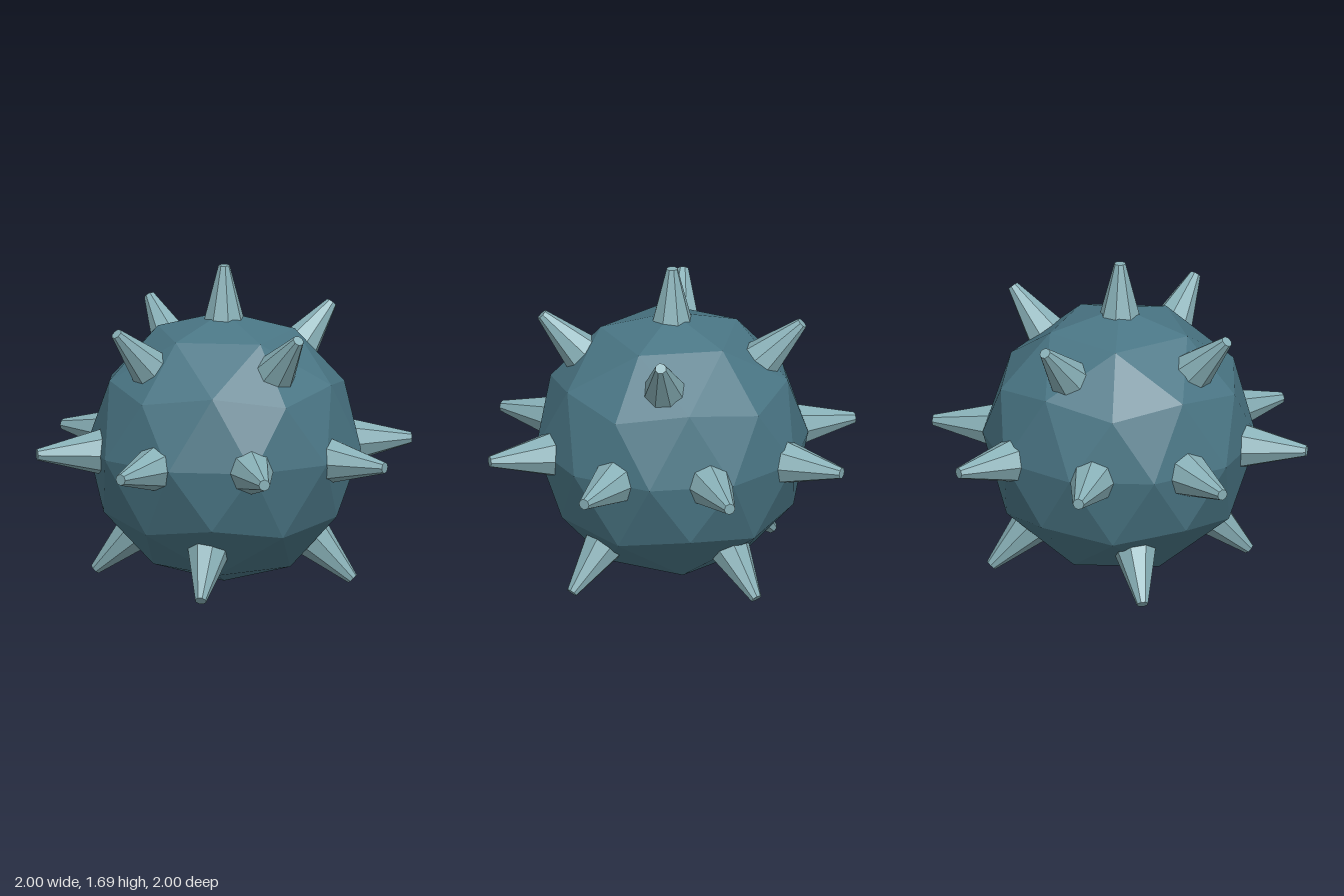
import * as THREE from 'three';

const CENTRE_Y = 0.723;
const RADIUS = 0.72;

// Faceted ball: icosahedron standing on a vertex, subdivided once
function ballGeometry() {
  const points = [0, 1, 0];
  const ringY = 1 / Math.sqrt(5), ringR = 2 / Math.sqrt(5);
  for (let i = 0; i < 10; i++) {
    // even corners belong to the upper ring, odd ones to the lower ring
    const a = i * Math.PI / 5;
    points.push(ringR * Math.cos(a), i % 2 ? -ringY : ringY, ringR * Math.sin(a));
  }
  points.push(0, -1, 0);
  const ring = (i) => 1 + (i % 10);
  const faces = [];
  for (let i = 0; i < 10; i += 2) {
    faces.push(0, ring(i + 2), ring(i));
    faces.push(ring(i), ring(i + 2), ring(i + 1));
    faces.push(ring(i + 1), ring(i + 2), ring(i + 3));
    faces.push(11, ring(i + 1), ring(i + 3));
  }
  const geometry = new THREE.PolyhedronGeometry(points, faces, RADIUS, 1);
  geometry.computeVertexNormals();
  return geometry;
}

export function createModel() {
  const model = new THREE.Group();
  model.name = 'spikedBall';

  const shell = new THREE.MeshStandardMaterial({ color: 0x4a7685, flatShading: true });
  shell.name = 'dark teal';
  const horn = new THREE.MeshStandardMaterial({ color: 0x88b0b7, flatShading: true });
  horn.name = 'pale teal';

  const ball = new THREE.Mesh(ballGeometry(), shell);
  ball.name = 'ball';
  ball.position.y = CENTRE_Y;
  model.add(ball);

  // Blunt eight-sided spike, pointing outwards from the ball's centre
  const length = 0.38;
  const spikeGeometry = new THREE.CylinderGeometry(0.03, 0.131, length, 8);
  const up = new THREE.Vector3(0, 1, 0);
  function addSpike(name, azimuth, elevation, reach) {
    const a = THREE.MathUtils.degToRad(azimuth);
    const e = THREE.MathUtils.degToRad(elevation);
    const direction = new THREE.Vector3(
      Math.cos(e) * Math.cos(a), Math.sin(e), Math.cos(e) * Math.sin(a));
    const spike = new THREE.Mesh(spikeGeometry, horn);
    spike.name = name;
    spike.position.copy(direction).multiplyScalar(reach - length / 2);
    spike.position.y += CENTRE_Y;
    spike.quaternion.setFromUnitVectors(up, direction);
    model.add(spike);
  }

  // Spikes around the middle, then the staggered upper and lower rings
  for (let i = 0; i < 8; i++) addSpike('middleSpike', i * 45, 0, 1);
  for (let i = 0; i < 4; i++) {
    addSpike('upperSpike', 67.5 + i * 90, 45, 0.967);
    addSpike('lowerSpike', 22.5 + i * 90, -45, 0.967);
  }
  addSpike('topSpike', 0, 90, 0.967);

  return model;
}
